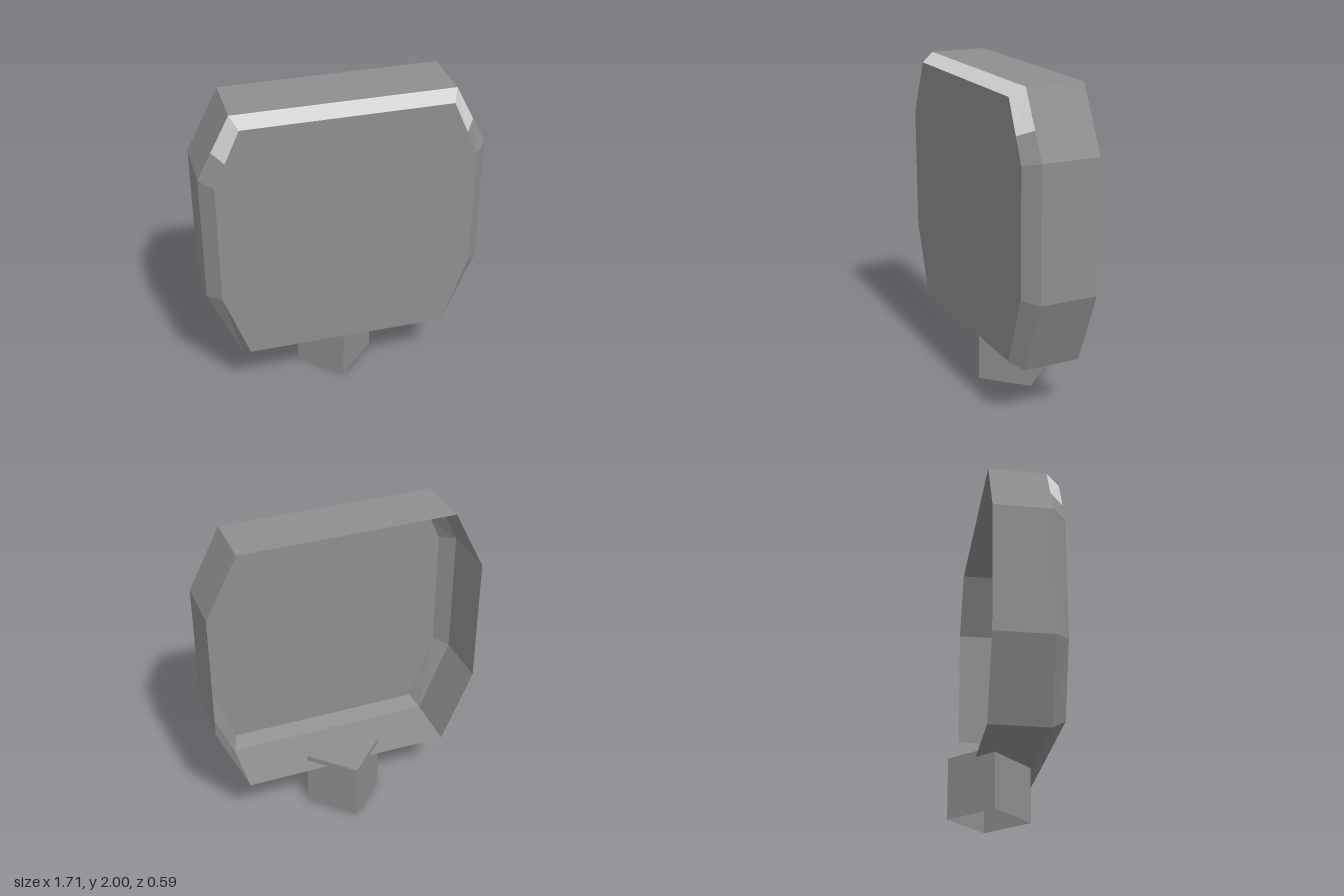
import * as THREE from 'three';

const grey = new THREE.MeshStandardMaterial({ color: 0x8e8e8e, flatShading: true, side: THREE.DoubleSide });
grey.name = 'mid grey';
const pale = new THREE.MeshStandardMaterial({ color: 0xd2d2d2, flatShading: true, side: THREE.DoubleSide });
pale.name = 'pale grey';

// Mirrors a right-hand outline (top to bottom) into a closed loop, clockwise from the top.
// The upper slanted edge is split where its bevel changes colour.
function outline(half) {
  const [a, b] = half;
  const split = [a[0] + (b[0] - a[0]) * 0.57, a[1] + (b[1] - a[1]) * 0.57];
  const right = [a, split, ...half.slice(1)];
  return [...right, ...right.map(([x, y]) => [-x, y]).reverse()];
}

const outer = outline([[0.66, 2], [0.855, 1.62], [0.855, 0.81], [0.66, 0.34]]);
const inner = outline([[0.62, 1.945], [0.775, 1.6], [0.775, 0.83], [0.62, 0.395]]);
const BACK = -0.147, RIM = 0.21, FRONT = 0.293;

// Band of quads between two outlines at two depths, outward facing
function band(back, zBack, front, zFront, include = () => true) {
  const pos = [];
  const n = back.length;
  for (let i = 0; i < n; i++) {
    if (!include(i)) continue;
    const j = (i + 1) % n;
    const a = [...back[i], zBack], b = [...back[j], zBack];
    const c = [...front[j], zFront], d = [...front[i], zFront];
    pos.push(...a, ...d, ...c, ...a, ...c, ...b);
  }
  const g = new THREE.BufferGeometry();
  g.setAttribute('position', new THREE.Float32BufferAttribute(pos, 3));
  g.computeVertexNormals();
  return g;
}

function add(parent, name, geometry, material) {
  const mesh = new THREE.Mesh(geometry, material);
  mesh.name = name;
  parent.add(mesh);
  return mesh;
}

export function createModel() {
  const model = new THREE.Group();
  model.name = 'signPanel';

  // Hollow panel, open at the back
  const panel = new THREE.Group();
  panel.name = 'panel';
  model.add(panel);
  add(panel, 'sideWall', band(outer, BACK, outer, RIM), grey);

  // Bevel: pale along the top and the upper part of the top corners
  const n = outer.length;
  const isPale = (i) => i === 0 || i === n - 1 || i === n - 2;
  add(panel, 'upperBevel', band(outer, RIM, inner, FRONT, isPale), pale);
  add(panel, 'lowerBevel', band(outer, RIM, inner, FRONT, (i) => !isPale(i)), grey);

  // Front plate
  const shape = new THREE.Shape(inner.map(([x, y]) => new THREE.Vector2(x, y)));
  add(panel, 'frontPlate', new THREE.ShapeGeometry(shape), grey).position.z = FRONT;

  // Square post set cornerwise, open at the bottom
  const post = new THREE.Group();
  post.name = 'post';
  post.position.z = -0.046;
  model.add(post);
  const radius = 0.247, height = 0.375;
  add(post, 'postWalls', new THREE.CylinderGeometry(radius, radius, height, 4, 1, true), grey).position.y = height / 2;
  const cap = add(post, 'postTop', new THREE.CircleGeometry(radius, 4), grey);
  cap.rotation.x = -Math.PI / 2;
  cap.position.y = height;

  return model;
}
